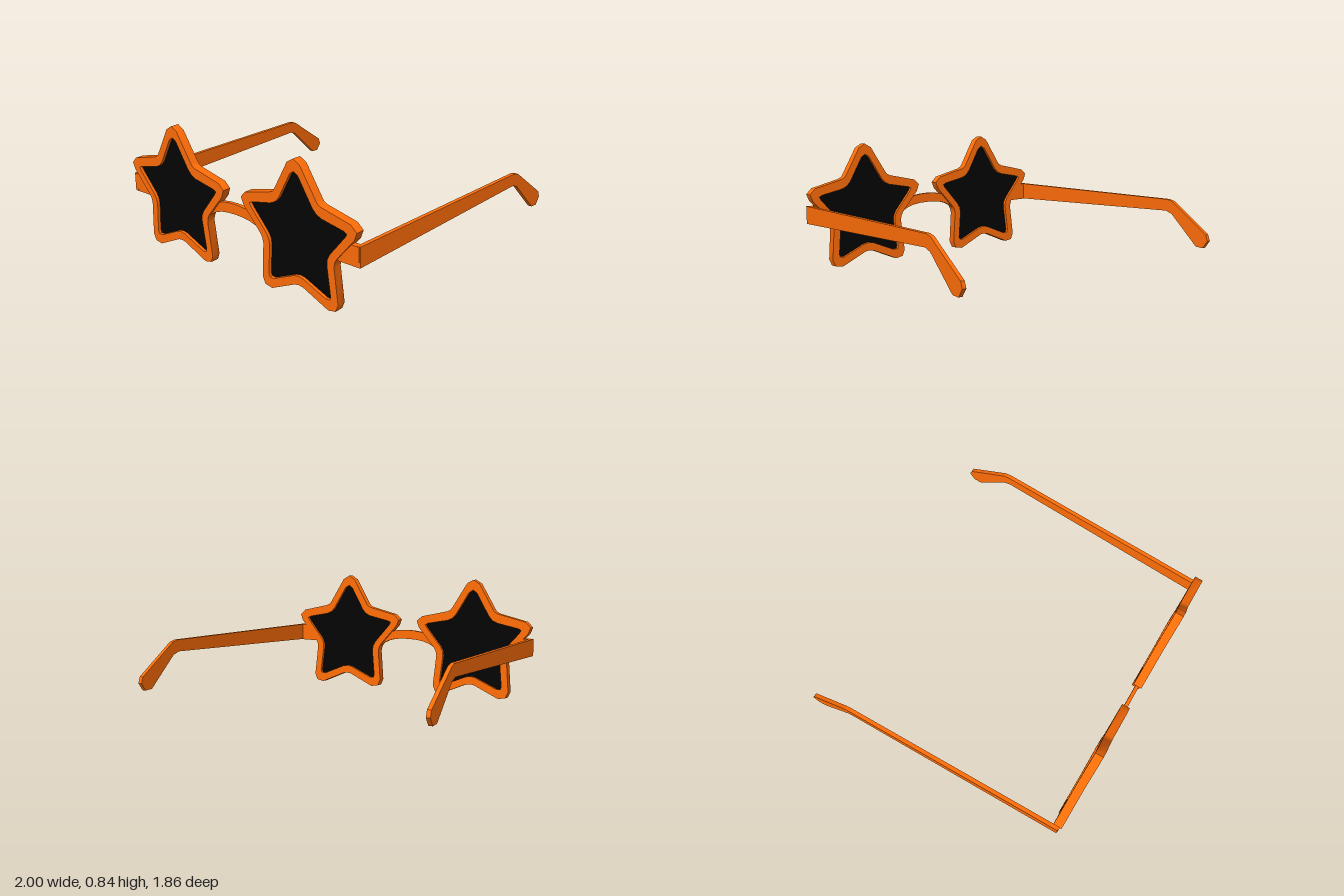
import * as THREE from 'three';
import { toCreasedNormals } from 'three/addons/utils/BufferGeometryUtils.js';

const orange = new THREE.MeshStandardMaterial({ color: 0xff6d08 });
const black = new THREE.MeshStandardMaterial({ color: 0x040404 });

// Right half of each star, as x offset from the star's centre and height
const OUTER = [
  [0, 0.837], [0.047, 0.81], [0.152, 0.637], [0.166, 0.617], [0.19, 0.604], [0.394, 0.557],
  [0.433, 0.52], [0.415, 0.474], [0.288, 0.33], [0.274, 0.305], [0.268, 0.275],
  [0.289, 0.056], [0.27, 0.012], [0.216, 0.002], [0.03, 0.084], [0, 0.088],
];
const INNER = [
  [0, 0.765], [0.03, 0.745], [0.125, 0.585], [0.153, 0.555], [0.19, 0.538], [0.345, 0.508],
  [0.365, 0.497], [0.352, 0.475], [0.24, 0.345], [0.222, 0.313], [0.217, 0.275],
  [0.237, 0.09], [0.23, 0.07], [0.2, 0.068], [0.035, 0.138], [0, 0.144],
];

const points = (list) => list.map(([x, y]) => new THREE.Vector2(x, y));

// Completes a half outline whose first and last points lie on the mirror line (clockwise)
function mirrored(half) {
  const other = half.slice(1, -1).reverse().map(([x, y]) => [-x, y]);
  return points([...half, ...other]);
}

// Flat plate with its thickness centred on z = 0
function plate(shape, depth) {
  const geometry = new THREE.ExtrudeGeometry(shape, { depth, bevelEnabled: false });
  return geometry.translate(0, 0, -depth / 2);
}

function add(parent, name, geometry, material = orange) {
  const mesh = new THREE.Mesh(geometry, material);
  mesh.name = name;
  parent.add(mesh);
  return mesh;
}

// Side arm drawn as a (z, y) profile, splaying outwards towards the back
function templeGeometry(side) {
  const profile = new THREE.Shape(points([
    [0.9, 0.44], [0.9, 0.32], [-0.577, 0.402], [-0.627, 0.386], [-0.835, 0.194], [-0.89, 0.192],
    [-0.925, 0.242], [-0.91, 0.282], [-0.632, 0.47], [-0.587, 0.48],
  ]));
  const geometry = plate(profile, 0.026).rotateY(-Math.PI / 2);
  const p = geometry.attributes.position;
  for (let i = 0; i < p.count; i++) {
    p.setX(i, p.getX(i) + side * (0.939 + (0.9 - p.getZ(i)) * 0.0262));
  }
  geometry.computeVertexNormals();
  return geometry;
}

export function createModel() {
  const glasses = new THREE.Group();
  glasses.name = 'starSunglasses';

  // Front assembly leans slightly forward at the top
  const front = new THREE.Group();
  front.name = 'frontFrame';
  front.position.z = 0.867;
  front.rotation.x = 0.043;
  glasses.add(front);

  for (const side of [-1, 1]) {
    const label = side > 0 ? 'left' : 'right';

    // Star rim (outline anticlockwise, opening clockwise) and the lens set into it
    const rim = new THREE.Shape(mirrored(OUTER).reverse());
    rim.holes.push(new THREE.Path(mirrored(INNER)));
    add(front, label + 'Rim', toCreasedNormals(plate(rim, 0.055), 0.6)).position.x = side * 0.508;
    const lens = new THREE.Shape(mirrored(INNER));
    add(front, label + 'Lens', plate(lens, 0.015), black).position.x = side * 0.508;

    // Hinge plate between rim and arm
    const hinge = new THREE.Shape(points(
      [[0.945, 0.44], [0.945, 0.32], [0.77, 0.32], [0.86, 0.44]].map(([x, y]) => [side * x, y])
    ));
    add(front, label + 'Hinge', plate(hinge, 0.036));

    add(glasses, label + 'Temple', templeGeometry(side));
  }

  // Arched nose bridge
  const bridge = new THREE.Shape(mirrored([
    [0, 0.447], [0.05, 0.445], [0.1, 0.439], [0.15, 0.428], [0.19, 0.415], [0.235, 0.31],
    [0.2, 0.341], [0.165, 0.358], [0.12, 0.372], [0.06, 0.38], [0, 0.382],
  ]));
  add(front, 'bridge', plate(bridge, 0.024));

  return glasses;
}
